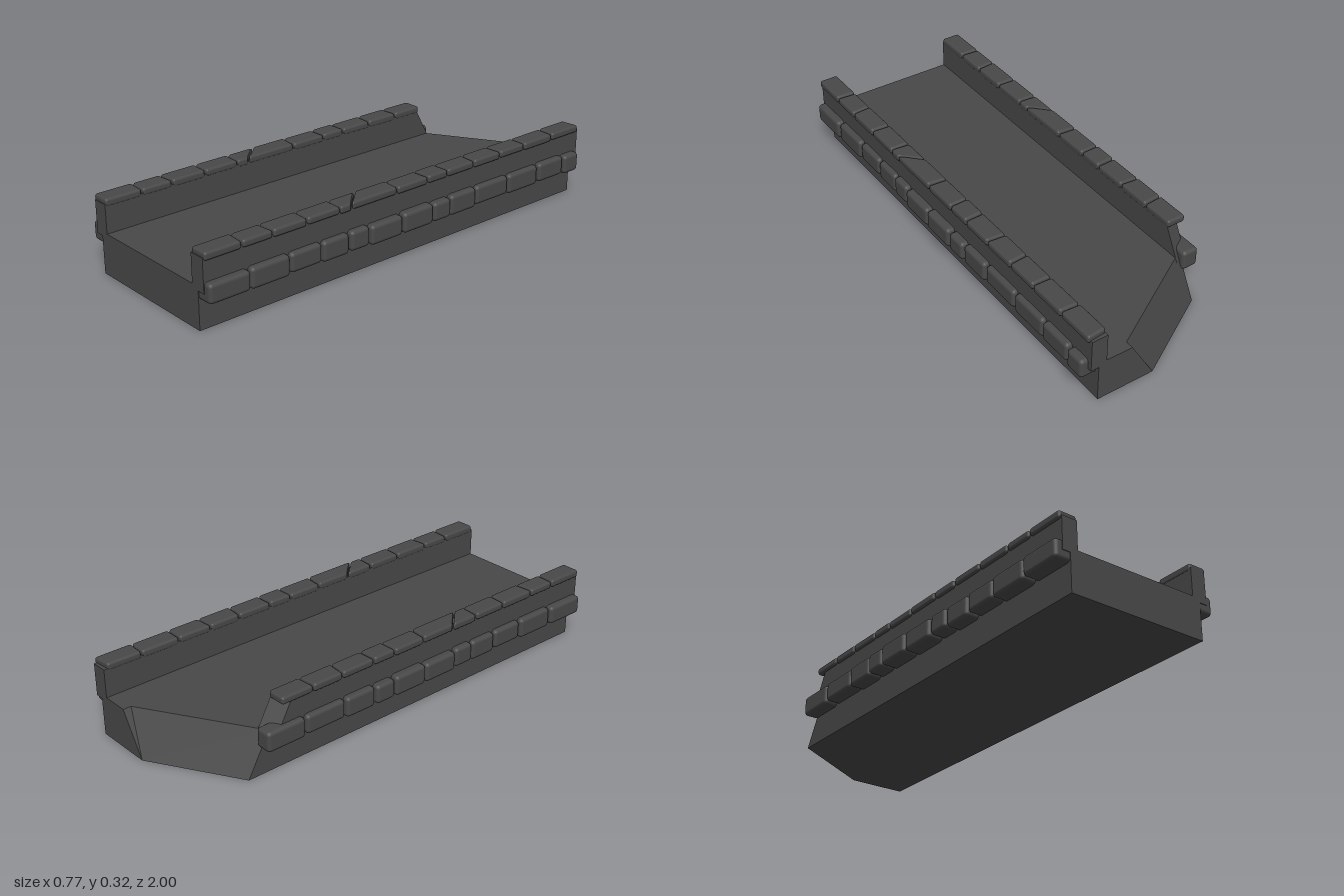
import * as THREE from 'three';
import { RoundedBoxGeometry } from 'three/addons/geometries/RoundedBoxGeometry.js';

const stoneGrey = new THREE.MeshStandardMaterial({ color: 0x484848 });
stoneGrey.name = 'darkStone';

// Slanted break at the back right corner: the z where the stonework ends
const breakZ = (x, y) => -0.78 - 0.587 * (x + 0.315) + 0.55 * y;

// Solid between two matching outlines of [x, z] points, counter-clockwise from above
function prism(name, bottom, top, y0, y1) {
  const pos = [];
  const v = (p, y) => [p[0], y, p[1]];
  const tri = (a, b, c) => pos.push(...a, ...b, ...c);
  const n = bottom.length;
  for (let i = 0; i < n; i++) {
    const j = (i + 1) % n;
    tri(v(bottom[i], y0), v(bottom[j], y0), v(top[j], y1));
    tri(v(bottom[i], y0), v(top[j], y1), v(top[i], y1));
    if (i > 0 && i < n - 1) {
      tri(v(top[0], y1), v(top[i], y1), v(top[j], y1));
      tri(v(bottom[0], y0), v(bottom[j], y0), v(bottom[i], y0));
    }
  }
  const geo = new THREE.BufferGeometry();
  geo.setAttribute('position', new THREE.Float32BufferAttribute(pos, 3));
  geo.computeVertexNormals();
  const mesh = new THREE.Mesh(geo, stoneGrey);
  mesh.name = name;
  return mesh;
}

// Rounded block whose two ends may be skewed along x
function stone(name, x, y, size, zFront, zBack, skewFront, skewBack, radius) {
  const len = zFront - zBack;
  const geo = new RoundedBoxGeometry(size[0], size[1], len, 2, radius);
  const p = geo.attributes.position;
  for (let i = 0; i < p.count; i++) {
    const t = p.getZ(i) / len + 0.5;
    const side = p.getX(i) / size[0];
    p.setZ(i, p.getZ(i) + side * (skewBack + (skewFront - skewBack) * t));
  }
  const mesh = new THREE.Mesh(geo, stoneGrey);
  mesh.name = name;
  mesh.position.set(x, y, (zFront + zBack) / 2);
  return mesh;
}

export function createModel() {
  const model = new THREE.Group();
  model.name = 'stoneBridge';

  // Deck with the broken corner
  model.add(prism('deck',
    [[0.315, 1], [0.315, -1], [0.06, -1], [0.06, -1], [-0.315, -0.78], [-0.315, 1]],
    [[0.315, 1], [0.315, -1], [0.165, -1], [0.165, -0.965], [-0.315, -0.68], [-0.315, 1]],
    0, 0.178));

  // Parapet walls
  const wall = (name, xa, xb, end) => {
    const ring = y => [[xb, 1], [xb, end(xb, y)], [xa, end(xa, y)], [xa, 1]];
    return prism(name, ring(0.16), ring(0.3), 0.16, 0.3);
  };
  model.add(wall('leftParapet', 0.28, 0.35, () => -1));
  model.add(wall('rightParapet', -0.35, -0.28, breakZ));

  // Seams between the stones, from front to back
  const capSeams = [1, 0.83, 0.695, 0.53, 0.37, 0.275, 0.075, -0.085, -0.195, -0.35, -0.5, -0.65, -0.825, -0.99];
  const sideSeams = [1, 0.81, 0.625, 0.47, 0.335, 0.235, 0.065, -0.1, -0.2, -0.35, -0.545, -0.73, -0.89, -0.985];
  const capSkew = i => (i === 5 ? 0.09 : 0.008 * Math.sin(i * 2.3));
  const wobble = i => Math.sin(i * 2.7 + 0.6);

  for (const s of [1, -1]) {
    const row = new THREE.Group();
    row.name = s > 0 ? 'leftStones' : 'rightStones';
    for (let i = 0; i < capSeams.length - 1; i++) {
      // Coping on top of the parapet
      if (s > 0 || capSeams[i + 1] >= -0.66) {
        row.add(stone('copingStone', s * 0.319, 0.304 + 0.001 * wobble(i),
          [0.083, 0.033 + 0.001 * wobble(i + 3)],
          capSeams[i] - 0.003, capSeams[i + 1] + 0.003, capSkew(i), capSkew(i + 1), 0.011));
      }
      // Course along the outer face
      if (s > 0 || sideSeams[i + 1] >= -0.74) {
        const out = 0.379 + 0.006 * wobble(i * 2);
        row.add(stone('sideStone', s * (out + 0.3) / 2, 0.164 + 0.002 * wobble(i + 1),
          [out - 0.3, 0.084 + 0.003 * wobble(i + 4)],
          sideSeams[i] - 0.003, sideSeams[i + 1] + 0.003, 0, 0, 0.016));
      }
    }
    model.add(row);
  }
  return model;
}
